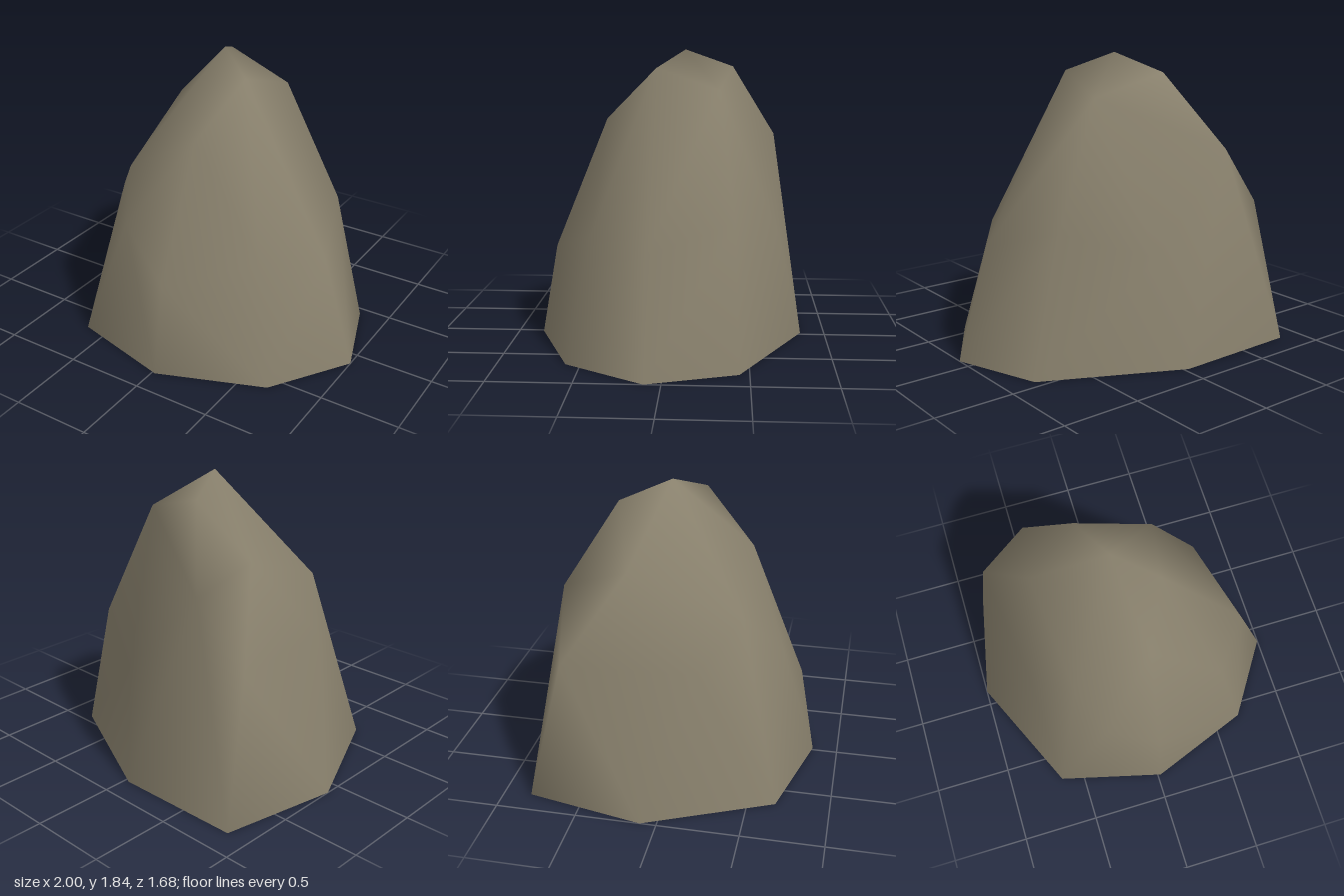
import * as THREE from 'three';
import { ConvexGeometry } from 'three/addons/geometries/ConvexGeometry.js';
import { mergeVertices } from 'three/addons/utils/BufferGeometryUtils.js';

// Outline on the ground, as [x, z]
const base = [
  [-0.85, -0.83], [-0.03, -0.845], [0.81, -0.44], [1, 0.1],
  [0.68, 0.59], [0.02, 0.84], [-0.65, 0.67], [-1, -0.1],
];

// Corners around the middle, as [x, y, z]
const middle = [
  [-0.78, 0.89, -0.62], [0.1, 0.68, -0.69], [0.61, 0.85, -0.41], [0.79, 0.69, 0.1],
  [0.53, 0.75, 0.45], [0.02, 0.58, 0.74], [-0.3, 0.87, 0.65], [-0.67, 0.86, 0.18],
];

// Shoulders, crown and peak
const upper = [
  [-0.46, 1.27, -0.67], [-0.51, 1.4, -0.27], [-0.43, 1.14, 0.41], [0.05, 1.41, 0.4],
  [0.27, 1.6, -0.31], [-0.19, 1.73, -0.39], [0.2, 1.73, 0.08], [-0.05, 1.84, -0.09],
];

// Wraps the corners in a shell, leaves the underside open and smooths the normals
function rockShell(points) {
  const hull = new ConvexGeometry(points).getAttribute('position');
  const kept = [];
  for (let i = 0; i < hull.count; i += 3) {
    const corners = [i, i + 1, i + 2];
    if (corners.every((c) => hull.getY(c) < 0.01)) continue;
    for (const c of corners) kept.push(hull.getX(c), hull.getY(c), hull.getZ(c));
  }
  const shell = new THREE.BufferGeometry();
  shell.setAttribute('position', new THREE.Float32BufferAttribute(kept, 3));
  const smooth = mergeVertices(shell, 1e-4);
  smooth.computeVertexNormals();
  return smooth;
}

export function createModel() {
  const stone = new THREE.MeshStandardMaterial({ color: 0x88806c, side: THREE.DoubleSide });
  stone.name = 'stone';

  const points = [...base.map(([x, z]) => [x, 0, z]), ...middle, ...upper]
    .map((p) => new THREE.Vector3(...p));
  const rock = new THREE.Mesh(rockShell(points), stone);
  rock.name = 'rock';

  const group = new THREE.Group();
  group.name = 'boulder';
  group.add(rock);
  return group;
}
